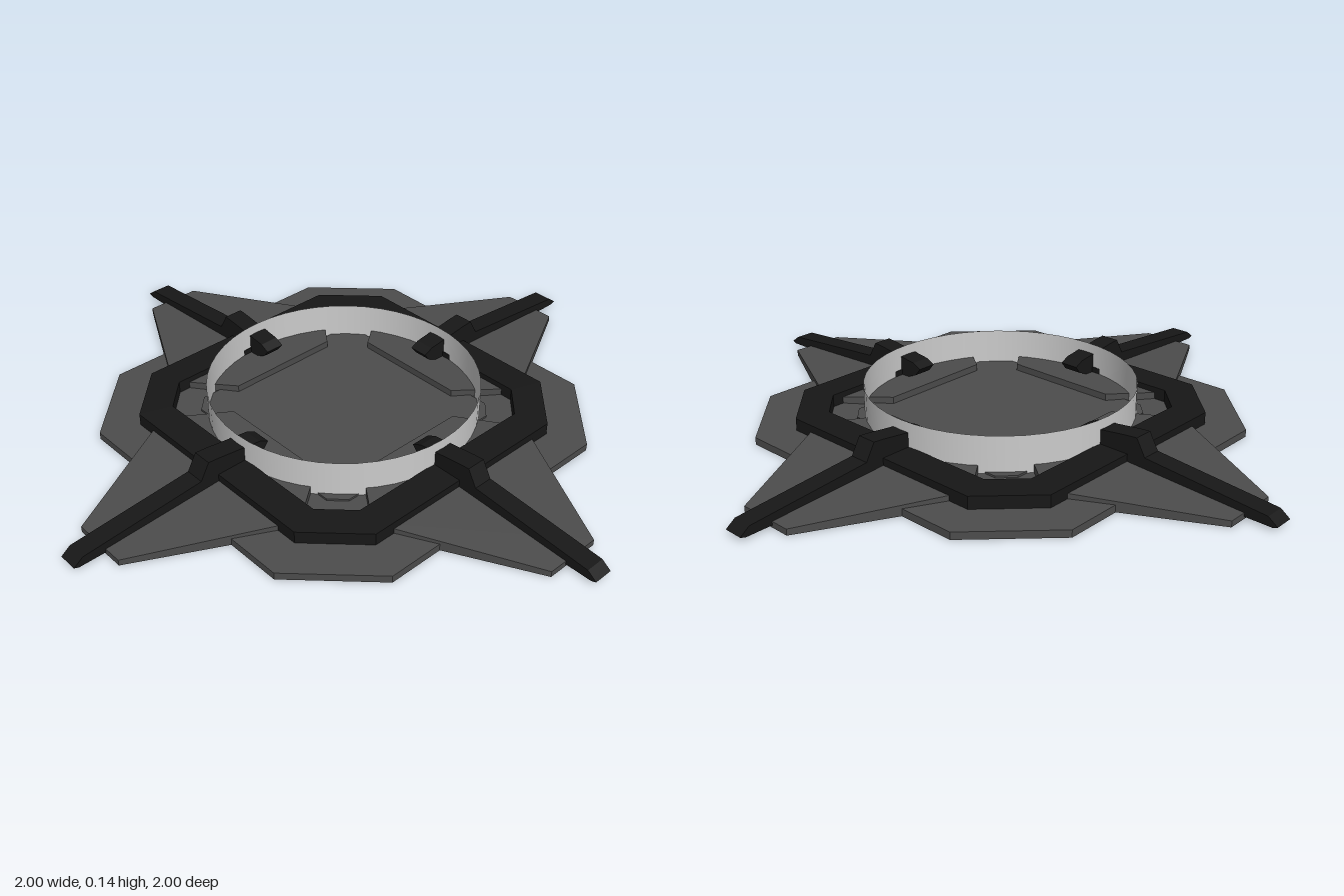
import * as THREE from 'three';

const plateMat = new THREE.MeshStandardMaterial({ color: 0x4c4c4c, flatShading: true });
const blackMat = new THREE.MeshStandardMaterial({ color: 0x171717, flatShading: true });
const wallMat = new THREE.MeshStandardMaterial({ color: 0xcccccc, side: THREE.DoubleSide });

// Octagon corners: a = half width, b = half length of the flat sides
const octagon = (a, b) => [[a, -b], [a, b], [b, a], [-b, a], [-a, b], [-a, -b], [-b, -a], [b, -a]]
  .map(([x, y]) => new THREE.Vector2(x, y));

// Horizontal slab between two heights, outline given in (x, z)
function slab(points, y0, y1, hole) {
  const shape = new THREE.Shape(points);
  if (hole) shape.holes.push(new THREE.Path(hole));
  return new THREE.ExtrudeGeometry(shape, { depth: y1 - y0, bevelEnabled: false })
    .rotateX(Math.PI / 2).translate(0, y1, 0);
}

// Star point whose top slopes down toward its blunt outer end (+z)
function starPoint() {
  const half = [[0.19, 0.285], [0.32, 0.46], [0.09, 0.9]];
  const outline = [...half, ...half.map(([x, z]) => [-x, z]).reverse()]
    .map(([x, z]) => new THREE.Vector2(x, z));
  const geo = slab(outline, 0, 1);
  const p = geo.attributes.position;
  for (let i = 0; i < p.count; i++) {
    if (p.getY(i) > 0.5) p.setY(i, 0.02 + (0.9 - p.getZ(i)) * 0.05);
    else p.setY(i, 0.001);
  }
  geo.computeVertexNormals();
  return geo;
}

// Rib: side profile in (distance outward, height), given a width
function rib() {
  const profile = [[0.35, 0.06], [0.42, 0.03], [0.5, 0.012], [0.985, 0.008], [1, 0.014],
    [0.97, 0.036], [0.575, 0.07], [0.545, 0.122], [0.51, 0.119], [0.36, 0.1], [0.33, 0.085]];
  const shape = new THREE.Shape(profile.map(([r, y]) => new THREE.Vector2(r, y)));
  return new THREE.ExtrudeGeometry(shape, { depth: 0.062, bevelEnabled: false })
    .translate(0, 0, -0.031).rotateY(-Math.PI / 2);
}

export function createModel() {
  const group = new THREE.Group();
  const add = (name, geo, mat, turn = 0) => {
    const mesh = new THREE.Mesh(geo, mat);
    mesh.name = name;
    mesh.rotation.y = turn;
    group.add(mesh);
  };

  // Stacked plates and octagonal frame
  add('basePlate', slab(octagon(0.63, 0.41), 0, 0.023), plateMat);
  add('floorPanel', slab(octagon(0.335, 0.29), 0.02, 0.029), plateMat);
  add('octagonFrame', slab(octagon(0.515, 0.36), 0.022, 0.062, octagon(0.415, 0.325)), blackMat);

  // Thin round wall, open at both ends
  add('roundWall', new THREE.CylinderGeometry(0.42, 0.42, 0.12, 48, 1, true).translate(0, 0.08, 0), wallMat);

  // Four star points, each with a rib along its middle
  const point = starPoint(), ribGeo = rib();
  ['front', 'left', 'back', 'right'].forEach((side, i) => {
    add(side + 'StarPoint', point, plateMat, i * Math.PI / 2);
    add(side + 'Rib', ribGeo, blackMat, i * Math.PI / 2);
  });
  return group;
}
